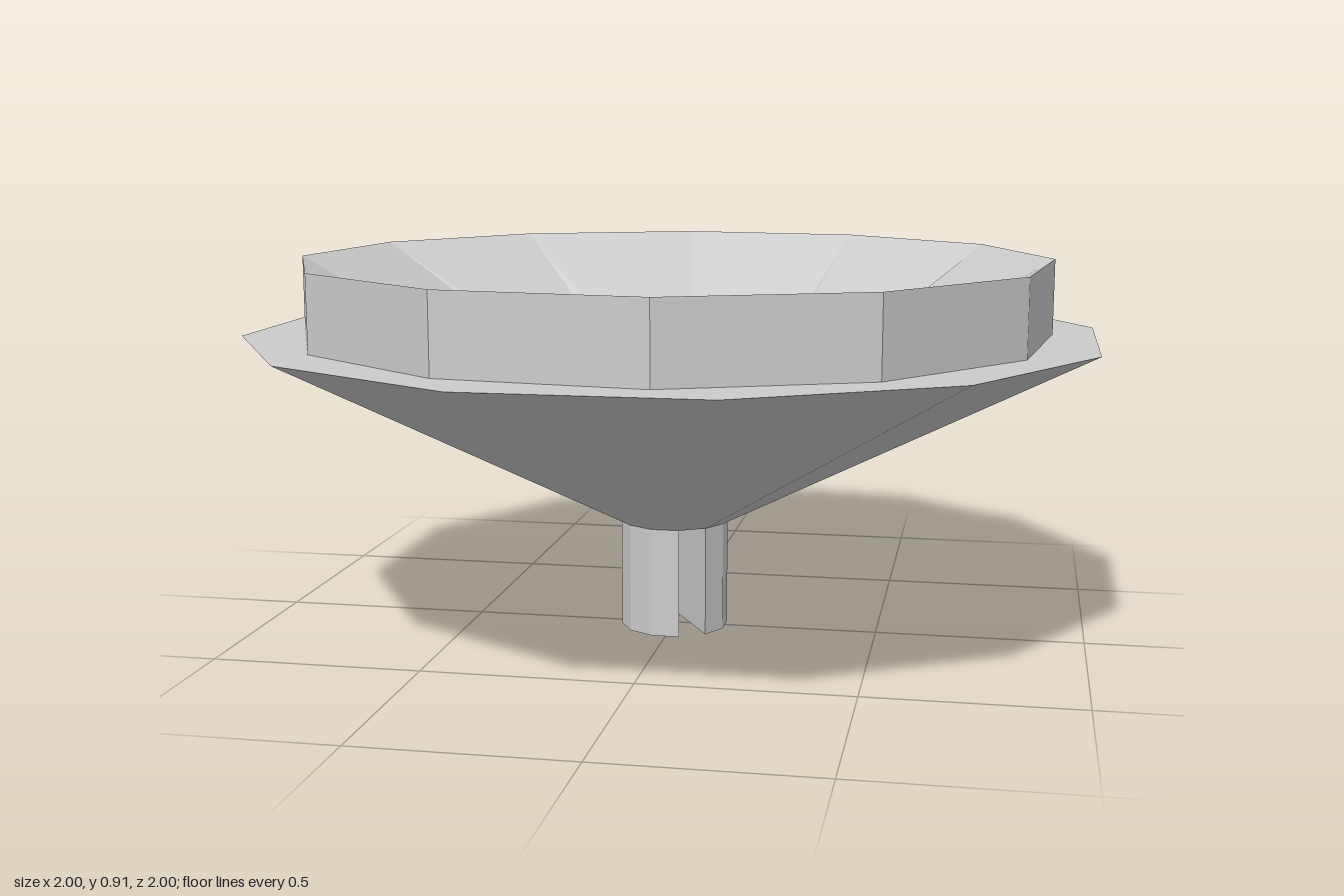
import * as THREE from 'three';

const SIDES = 12;
const rad = THREE.MathUtils.degToRad;
const material = new THREE.MeshStandardMaterial({ color: 0xcccccc, flatShading: true, side: THREE.DoubleSide });

// ring of points: radius, height, start angle in degrees (from +x towards +z)
const ring = (r, y, start) => Array.from({ length: SIDES }, (_, i) => {
  const a = rad(start + i * 360 / SIDES);
  return [r * Math.cos(a), y, r * Math.sin(a)];
});

// faceted band between two rings
function band(name, a, b) {
  const pos = [];
  for (let i = 0; i < SIDES; i++) {
    const j = (i + 1) % SIDES;
    pos.push(...a[i], ...b[i], ...b[j], ...a[i], ...b[j], ...a[j]);
  }
  const geo = new THREE.BufferGeometry();
  geo.setAttribute('position', new THREE.Float32BufferAttribute(pos, 3));
  geo.computeVertexNormals();
  const mesh = new THREE.Mesh(geo, material);
  mesh.name = name;
  return mesh;
}

// one half of the split stem: six corners of the twelve-sided tube
function stemHalf(name, start) {
  const pts = Array.from({ length: 6 }, (_, i) => {
    const a = rad(start + i * 30);
    return new THREE.Vector2(0.131 * Math.cos(a), -0.131 * Math.sin(a));
  });
  const geo = new THREE.ExtrudeGeometry(new THREE.Shape(pts), { depth: 0.265, bevelEnabled: false });
  geo.rotateX(-Math.PI / 2);
  const mesh = new THREE.Mesh(geo, material);
  mesh.name = name;
  return mesh;
}

export function createModel() {
  const group = new THREE.Group();
  group.name = 'funnelDish';

  const neck = ring(0.131, 0.265, 15);
  const flange = ring(1.035, 0.73, 15);
  const collarBase = ring(0.908, 0.73, -7.5);
  const collarTop = ring(0.908, 0.91, -7.5);
  const bowlBottom = ring(0.131, 0.45, 15);

  group.add(
    band('outerCone', neck, flange),
    band('flange', flange, collarBase),
    band('collar', collarBase, collarTop),
    band('bowl', collarTop, bowlBottom),
    band('bowlFloor', bowlBottom, ring(0, 0.45, 15)),
    band('neckUnderside', ring(0, 0.265, 15), neck),
    // the slot between the halves is one facet wide
    stemHalf('stemHalfRight', 75),
    stemHalf('stemHalfLeft', 255),
  );
  return group;
}
